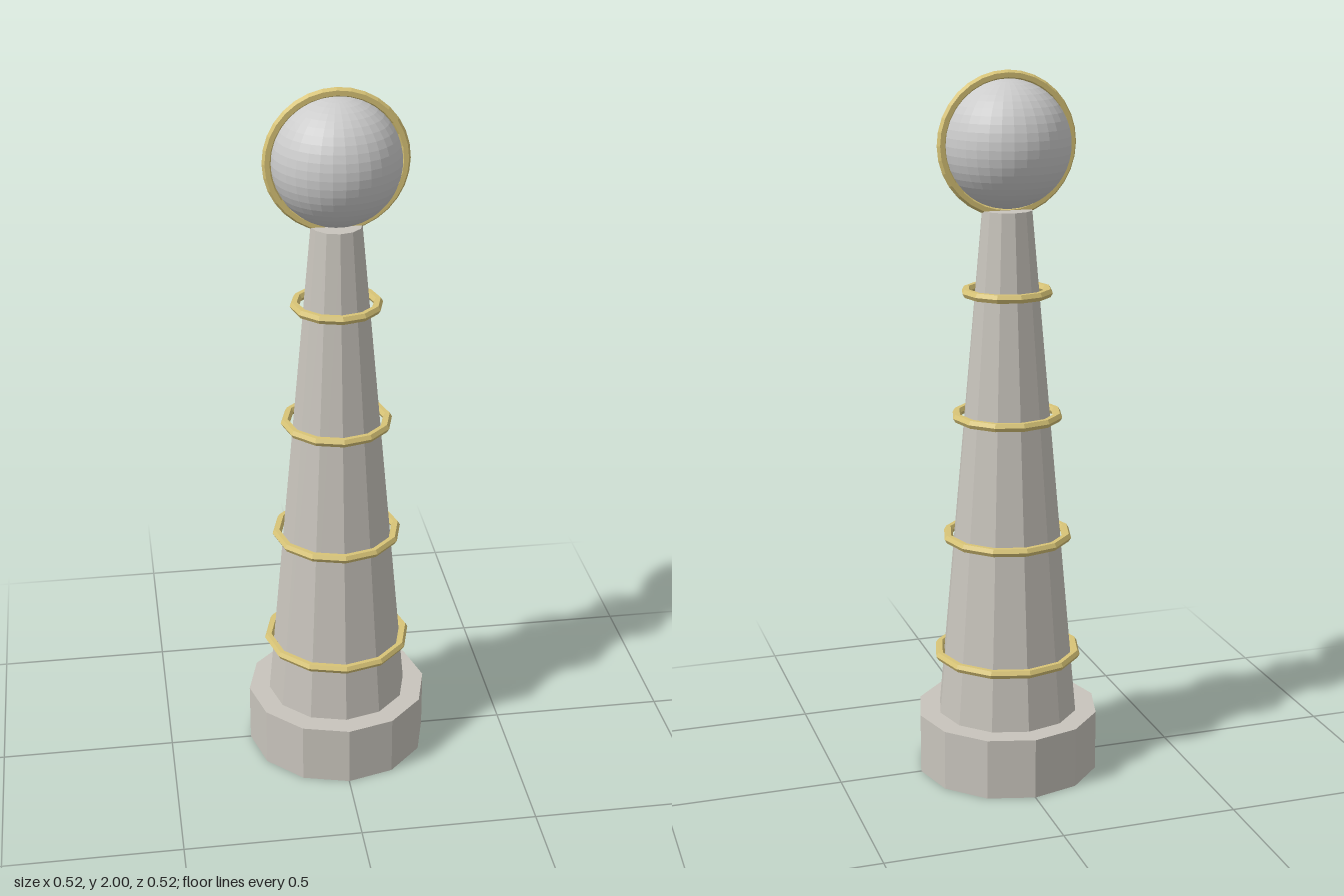
import * as THREE from 'three';

const SIDES = 12;
const material = (color) => new THREE.MeshStandardMaterial({ color, flatShading: true });

export function createModel() {
  const model = new THREE.Group();
  model.name = 'obelisk';

  const stone = material(0xc8c4bc);
  const gold = material(0xd8c477);
  const grey = material(0xcccccc);

  const add = (name, geometry, mat, y) => {
    const mesh = new THREE.Mesh(geometry, mat);
    mesh.name = name;
    mesh.position.y = y;
    model.add(mesh);
    return mesh;
  };

  // Twelve-sided plinth and tapering shaft
  const baseTop = 0.175, shaftTop = 1.625;
  const shaftHeight = shaftTop - baseTop;
  add('base', new THREE.CylinderGeometry(0.262, 0.262, baseTop, SIDES), stone, baseTop / 2);
  add('shaft', new THREE.CylinderGeometry(0.07, 0.202, shaftHeight, SIDES), stone, baseTop + shaftHeight / 2);

  // Bands around the shaft, narrowing upward
  const tube = 0.013;
  [0.2, 0.172, 0.144, 0.115].forEach((radius, i) => {
    const geometry = new THREE.TorusGeometry(radius, tube, 6, SIDES);
    geometry.rotateX(Math.PI / 2);
    add(`shaftBand${i + 1}`, geometry, gold, 0.35 * (i + 1));
  });

  // Ball on top with an upright hoop
  const ballY = 1.803;
  add('ball', new THREE.SphereGeometry(0.174, 32, 24), grey, ballY);
  add('ballHoop', new THREE.TorusGeometry(0.184, tube, 6, 32), gold, ballY);

  return model;
}
